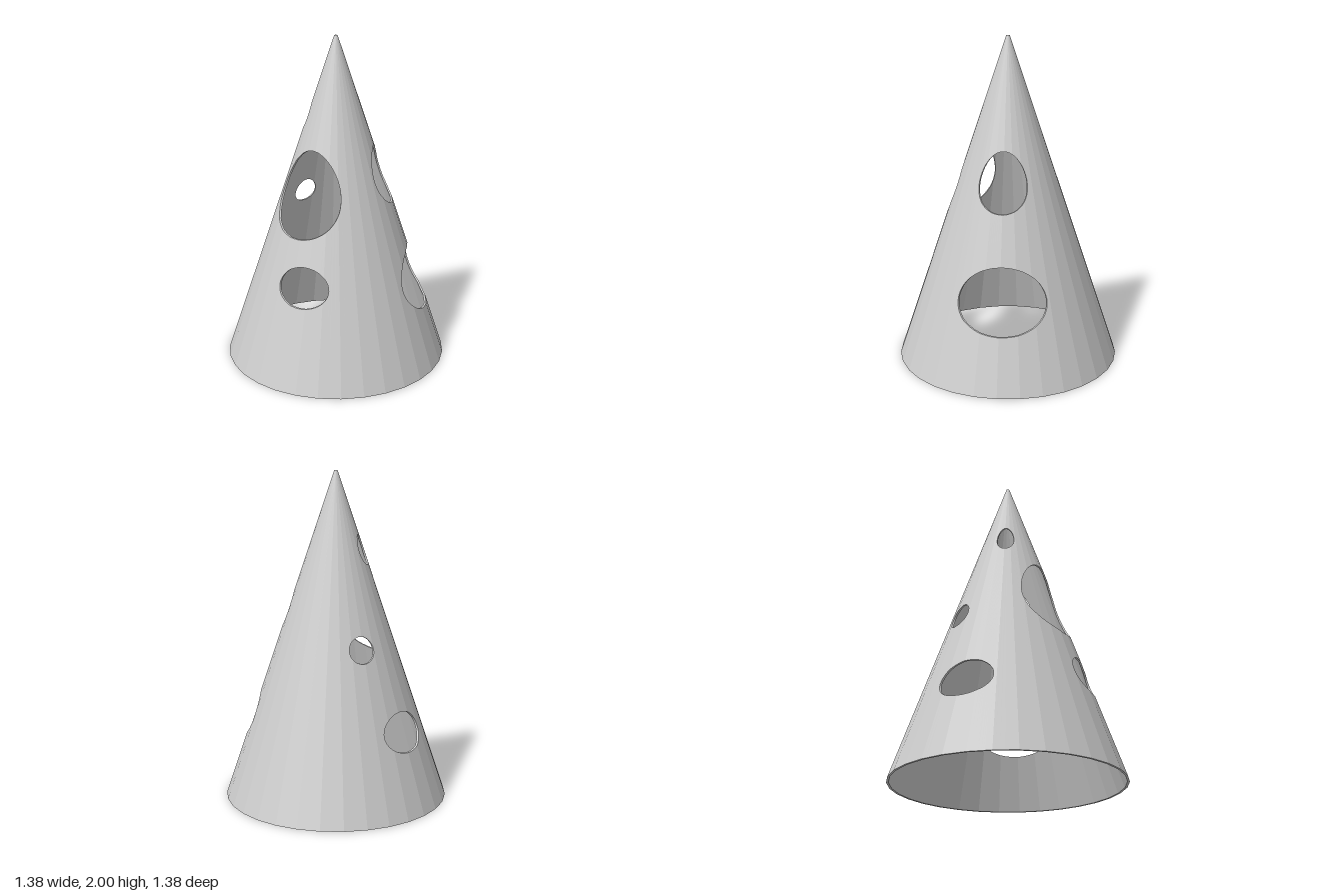
import * as THREE from 'three';

const SIDES = 32, HEIGHT = 2;
const STEP = (2 * Math.PI) / SIDES;
const rad = THREE.MathUtils.degToRad;

// Oval openings: angle from the front towards +x, half angle, centre height, half height
const holes = [
  [6.5, 41.5, 1.10, 0.25],
  [18.8, 18.8, 0.59, 0.115],
  [123, 29, 1.175, 0.175],
  [125, 30.5, 0.52, 0.19],
  [-76.7, 18.5, 0.475, 0.115],
  [-102.5, 12.5, 0.965, 0.077],
  [-55, 18, 1.53, 0.09],
].map(([a, w, y, h]) => ({ a: rad(a), w: rad(w), y, h }));

// Radii of the outer and inner faces of the thin wall at a height
const outerRadius = (y) => 0.01 + 0.68 * (1 - y / HEIGHT);
const innerRadius = (y) => 0.676 * (1 - y / HEIGHT);

// Half height of an opening at an angle
const halfOpening = (hole, angle) =>
  hole.h * Math.sqrt(Math.max(0, 1 - ((angle - hole.a) / hole.w) ** 2));

function wallGeometry() {
  // Column edges: every facet corner, plus samples that follow each oval
  const cuts = [];
  for (let i = 0; i <= SIDES; i++) cuts.push(-Math.PI + i * STEP);
  for (const hole of holes) {
    for (let k = 0; k <= 28; k++) cuts.push(hole.a - hole.w * Math.cos((k / 28) * Math.PI));
  }
  cuts.sort((p, q) => p - q);

  const positions = [];
  const quad = (a, b, c, d) => {
    for (const p of [a, b, c, a, c, d]) positions.push(p.x, p.y, p.z);
  };

  for (let i = 0; i < cuts.length - 1; i++) {
    const a = cuts[i], b = cuts[i + 1], mid = (a + b) / 2;
    if (b - a < 1e-6) continue;

    // Points lie on the flat facet this column belongs to
    const facet = (Math.floor(mid / STEP) + 0.5) * STEP;
    const point = (angle, y, radius) => {
      const r = (radius(y) * Math.cos(STEP / 2)) / Math.cos(angle - facet);
      return new THREE.Vector3(r * Math.sin(angle), y, r * Math.cos(angle));
    };

    // Heights at both column edges where wall and openings alternate
    const levels = [[0, 0]];
    holes.filter((h) => Math.abs(mid - h.a) < h.w).sort((p, q) => p.y - q.y).forEach((h) => {
      const da = halfOpening(h, a), db = halfOpening(h, b);
      levels.push([h.y - da, h.y - db], [h.y + da, h.y + db]);
    });
    levels.push([HEIGHT, HEIGHT]);

    // Each solid stretch gets an outer face, inner face, lower edge and upper edge
    for (let j = 0; j < levels.length; j += 2) {
      const [lo, hi] = [levels[j], levels[j + 1]];
      const corners = (radius) => [
        point(a, lo[0], radius), point(b, lo[1], radius),
        point(b, hi[1], radius), point(a, hi[0], radius),
      ];
      const o = corners(outerRadius), n = corners(innerRadius);
      quad(o[0], o[1], o[2], o[3]);
      quad(n[3], n[2], n[1], n[0]);
      quad(n[0], n[1], o[1], o[0]);
      quad(o[3], o[2], n[2], n[3]);
    }
  }

  const geometry = new THREE.BufferGeometry();
  geometry.setAttribute('position', new THREE.Float32BufferAttribute(positions, 3));
  geometry.computeVertexNormals();
  return geometry;
}

export function createModel() {
  const group = new THREE.Group();
  group.name = 'hollowCone';
  // Open-bottomed cone shell with oval openings
  const material = new THREE.MeshStandardMaterial({ color: 0xcccccc, flatShading: true });
  const wall = new THREE.Mesh(wallGeometry(), material);
  wall.name = 'perforatedConeWall';
  group.add(wall);
  return group;
}
